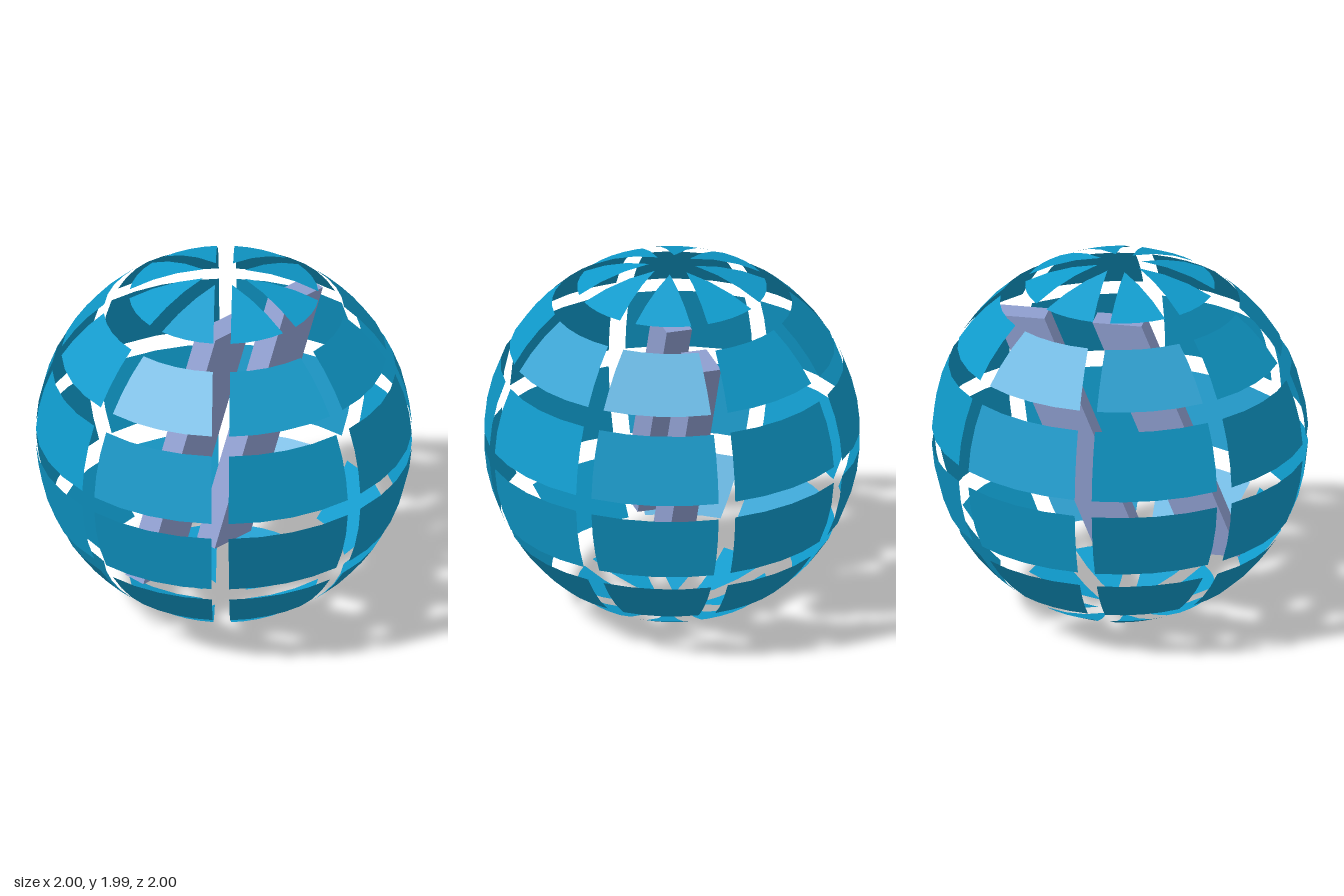
import * as THREE from 'three';

const HALF_GAP = 0.046;
const SECTORS = 8;
const STEP = (Math.PI * 2) / SECTORS;

// One thin curved panel between two latitudes; the gaps to its neighbours keep a constant width.
function panelGeometry(sector, lat0, lat1) {
  const nu = 4, nv = 3;
  const positions = [], normals = [], index = [];
  const midLat = (lat0 + lat1) / 2;
  const midAngle = (sector + 0.5) * STEP;
  const normal = [
    Math.cos(midLat) * Math.sin(midAngle), Math.sin(midLat), Math.cos(midLat) * Math.cos(midAngle),
  ];
  for (let j = 0; j <= nv; j++) {
    const lat = lat0 + ((lat1 - lat0) * j) / nv;
    const r = Math.cos(lat);
    const inset = Math.min(Math.asin(HALF_GAP / r), STEP / 2);
    for (let i = 0; i <= nu; i++) {
      const a = sector * STEP + inset + ((STEP - 2 * inset) * i) / nu;
      positions.push(r * Math.sin(a), 1 + Math.sin(lat), r * Math.cos(a));
      normals.push(...normal); // each panel is shaded as one even facet
      if (i < nu && j < nv) {
        const k = j * (nu + 1) + i, up = k + nu + 1;
        index.push(k, k + 1, up + 1, k, up + 1, up);
      }
    }
  }
  const geometry = new THREE.BufferGeometry();
  geometry.setAttribute('position', new THREE.Float32BufferAttribute(positions, 3));
  geometry.setAttribute('normal', new THREE.Float32BufferAttribute(normals, 3));
  geometry.setIndex(index);
  return geometry;
}

export function createModel() {
  const model = new THREE.Group();
  model.name = 'panelledGlobe';

  const blue = new THREE.MeshStandardMaterial({ color: 0x0f9bcc, side: THREE.DoubleSide });
  blue.name = 'panelBlue';
  const lavender = new THREE.MeshStandardMaterial({ color: 0x8f9fd0 });
  lavender.name = 'barLavender';

  // Shell: three bands of panels per hemisphere, the last closing to a point near the pole
  const shell = new THREE.Group();
  shell.name = 'shell';
  const tipLat = Math.acos(HALF_GAP / Math.sin(STEP / 2));
  const bands = [
    ['equator', Math.asin(0.046), Math.asin(0.412)],
    ['middle', Math.asin(0.506), Math.asin(0.77)],
    ['cap', Math.asin(0.864), tipLat],
  ];
  for (const [name, low, high] of bands) {
    for (let s = 0; s < SECTORS; s++) {
      const upper = new THREE.Mesh(panelGeometry(s, low, high), blue);
      upper.name = `${name}PanelUpper`;
      const lower = new THREE.Mesh(panelGeometry(s, -high, -low), blue);
      lower.name = `${name}PanelLower`;
      shell.add(upper, lower);
    }
  }
  model.add(shell);

  // Two parallel slanted bars inside the shell
  const bottom = 0.375, top = 1.665, lean = 0.53, width = 0.265, depth = 0.14;
  const slant = new THREE.Shape([
    new THREE.Vector2(0, bottom),
    new THREE.Vector2(width, bottom),
    new THREE.Vector2(width + lean, top),
    new THREE.Vector2(lean, top),
  ]);
  const barGeometry = new THREE.ExtrudeGeometry(slant, { depth, bevelEnabled: false });
  [['rightBar', -0.66], ['leftBar', -0.135]].forEach(([name, x]) => {
    const bar = new THREE.Mesh(barGeometry, lavender);
    bar.name = name;
    bar.position.set(x, 0, -depth / 2);
    model.add(bar);
  });

  return model;
}
